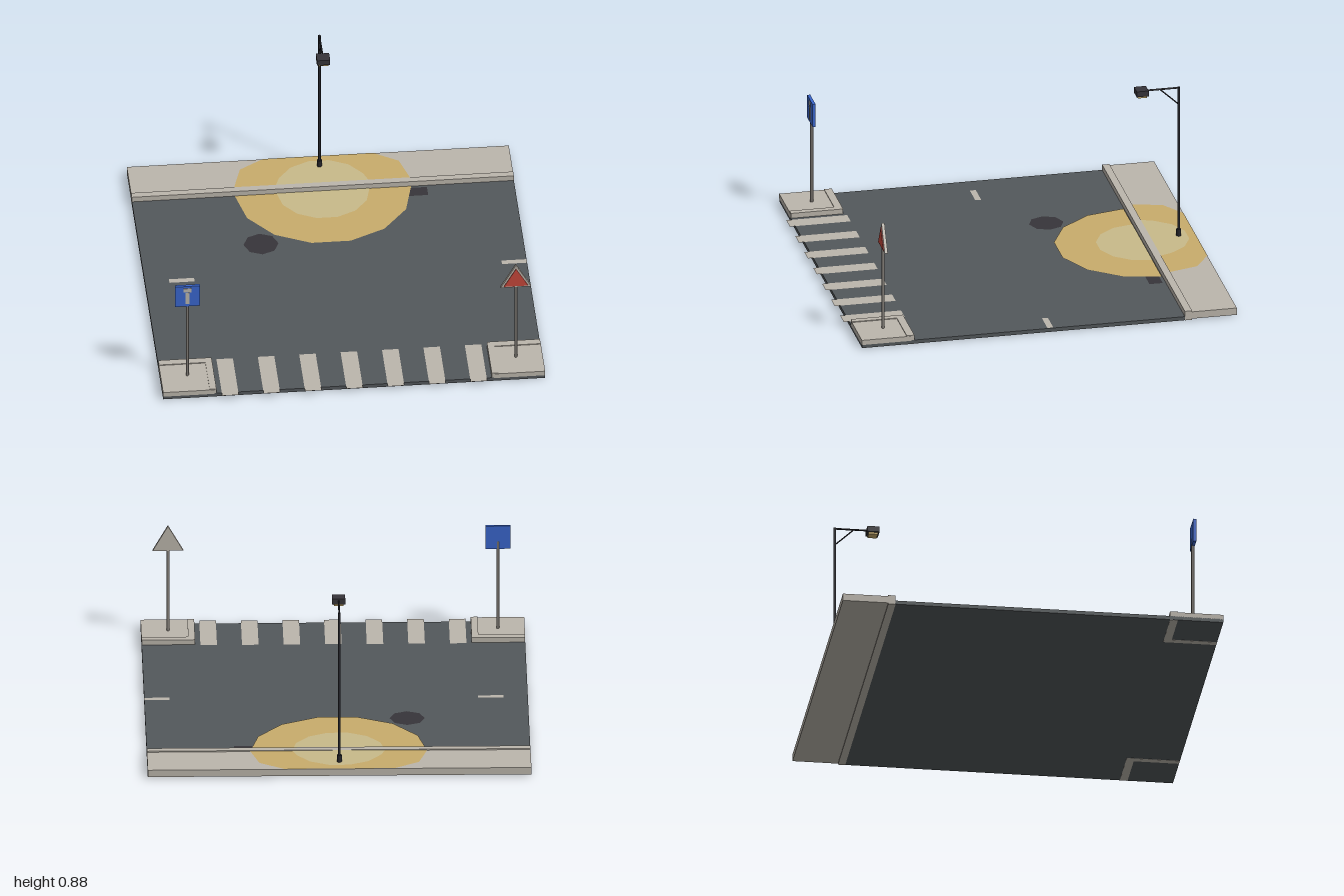
import * as THREE from 'three';

const mat = (name, color) => {
  const m = new THREE.MeshStandardMaterial({ color });
  m.name = name;
  return m;
};

export function createModel() {
  const root = new THREE.Group();
  root.name = 'streetScene';
  const asphalt = mat('asphalt', 0x53585b);
  const concrete = mat('concrete', 0xbcb6ac);
  const iron = mat('castIron', 0x37353a);
  const poleBlack = mat('lampBlack', 0x26262c);
  const glowOuter = mat('warmGlow', 0xc8ac6c);
  const glowInner = mat('paleGlow', 0xc8ba8a);
  const steel = mat('postSteel', 0x827d77);
  const blue = mat('signBlue', 0x3a66cc);
  const red = mat('signRed', 0xc4463a);

  const add = (name, geo, material, x = 0, y = 0, z = 0, parent = root) => {
    const m = new THREE.Mesh(geo, material);
    m.name = name;
    m.position.set(x, y, z);
    parent.add(m);
    return m;
  };
  // box given by its minimum and maximum on each axis
  const box = (name, material, x0, x1, y0, y1, z0, z1, parent = root) =>
    add(name, new THREE.BoxGeometry(x1 - x0, y1 - y0, z1 - z0), material,
      (x0 + x1) / 2, (y0 + y1) / 2, (z0 + z1) / 2, parent);
  // flat marking lying on the ground
  const marking = (name, material, x0, x1, z0, z1, y) =>
    add(name, new THREE.PlaneGeometry(x1 - x0, z1 - z0).rotateX(-Math.PI / 2), material,
      (x0 + x1) / 2, y, (z0 + z1) / 2);
  // round bar between two points
  const bar = (name, material, a, b, r, sides, parent = root) => {
    const from = new THREE.Vector3(...a), d = new THREE.Vector3(...b).sub(from);
    const m = add(name, new THREE.CylinderGeometry(r, r, d.length(), sides), material, 0, 0, 0, parent);
    m.position.copy(from).addScaledVector(d, 0.5);
    m.quaternion.setFromUnitVectors(new THREE.Vector3(0, 1, 0), d.normalize());
    return m;
  };

  // Ground
  box('road', asphalt, -0.985, 0.985, 0.001, 0.021, -0.73, 0.97);
  box('sidewalk', concrete, -0.985, 0.985, 0.006, 0.044, -1, -0.755);
  box('sidewalkKerb', concrete, -0.985, 0.985, 0, 0.05, -0.765, -0.727);

  // Corner pavements with raised kerbs on their inner edges
  for (const s of [-1, 1]) {
    const corner = new THREE.Group();
    corner.name = s > 0 ? 'leftCorner' : 'rightCorner';
    root.add(corner);
    const span = (a, b) => (s > 0 ? [a, b] : [-b, -a]);
    box('cornerPavement', concrete, ...span(0.72, 0.985), 0.018, 0.044, 0.71, 0.971, corner);
    box('cornerKerbSide', concrete, ...span(0.71, 0.745), 0, 0.048, 0.695, 0.969, corner);
    box('cornerKerbBack', concrete, ...span(0.71, 0.984), 0, 0.048, 0.695, 0.735, corner);
  }

  // Crossing stripes and lane dashes
  for (let i = -3; i <= 3; i++) {
    const x = i * 0.2135;
    marking('crossingStripe', concrete, x - 0.0425, x + 0.0425, 0.68, 1, 0.024);
  }
  marking('laneDash', concrete, -0.86, -0.73, -0.035, -0.004, 0.024);
  marking('laneDash', concrete, 0.855, 0.985, -0.035, -0.004, 0.024);

  // Manhole and drain
  add('manholeCover', new THREE.CircleGeometry(0.09, 8).rotateX(-Math.PI / 2), iron, -0.36, 0.024, -0.295);
  marking('drainGrate', iron, 0.40, 0.535, -0.71, -0.64, 0.023);

  // Pool of lamp light: one half on the road, one on the sidewalk behind the kerb
  const glowHalf = (name, material, r, side, y) => {
    const pts = [];
    for (let i = 0; i <= 7; i++) {
      const a = (i / 7) * Math.PI;
      let z = -0.722 + side * r * Math.sin(a);
      if (side < 0) z = Math.max(-1, Math.min(-0.764, z));
      pts.push(new THREE.Vector2(r * Math.cos(a), -z));
    }
    add(name, new THREE.ShapeGeometry(new THREE.Shape(pts)).rotateX(-Math.PI / 2), material, 0, y, 0);
  };
  for (const [side, y] of [[1, 0.0255], [-1, 0.046]]) {
    glowHalf('outerGlow', glowOuter, 0.455, side, y);
    glowHalf('innerGlow', glowInner, 0.24, side, y + 0.002);
  }

  // Street lamp
  const lamp = new THREE.Group();
  lamp.name = 'streetLamp';
  root.add(lamp);
  bar('lampBase', poleBlack, [0, 0.044, -0.912], [0, 0.085, -0.912], 0.013, 8, lamp);
  bar('lampPole', poleBlack, [0, 0.044, -0.912], [0, 0.876, -0.912], 0.007, 8, lamp);
  bar('lampArm', poleBlack, [0, 0.872, -0.914], [0, 0.872, -0.72], 0.005, 6, lamp);
  bar('lampBrace', poleBlack, [0, 0.78, -0.912], [0, 0.87, -0.815], 0.0035, 6, lamp);
  box('lampHead', iron, -0.034, 0.034, 0.853, 0.883, -0.747, -0.684, lamp);
  box('lampLens', glowOuter, -0.025, 0.025, 0.842, 0.853, -0.739, -0.692, lamp);

  // Blue square sign on the model's right
  const square = new THREE.Group();
  square.name = 'squareSign';
  root.add(square);
  bar('signPost', steel, [-0.847, 0.044, 0.83], [-0.847, 0.53, 0.83], 0.008, 8, square);
  box('signPlate', blue, -0.911, -0.783, 0.488, 0.614, 0.824, 0.84, square);
  box('symbolBar', concrete, -0.868, -0.826, 0.578, 0.602, 0.839, 0.843, square);
  box('symbolStem', concrete, -0.857, -0.837, 0.505, 0.574, 0.839, 0.843, square);

  // Triangular warning sign on the model's left
  const warning = new THREE.Group();
  warning.name = 'warningSign';
  root.add(warning);
  const triangle = (r, depth) => {
    const pts = [0, 1, 2].map((i) => {
      const a = Math.PI / 2 + (i * Math.PI * 2) / 3;
      return new THREE.Vector2(r * Math.cos(a), r * Math.sin(a));
    });
    return new THREE.ExtrudeGeometry(new THREE.Shape(pts), { depth, bevelEnabled: false });
  };
  bar('signPost', steel, [0.847, 0.044, 0.83], [0.847, 0.52, 0.83], 0.008, 8, warning);
  add('signPlate', triangle(0.091, 0.016), concrete, 0.847, 0.537, 0.822, warning);
  add('signFace', triangle(0.072, 0.005), red, 0.847, 0.536, 0.837, warning);

  return root;
}
